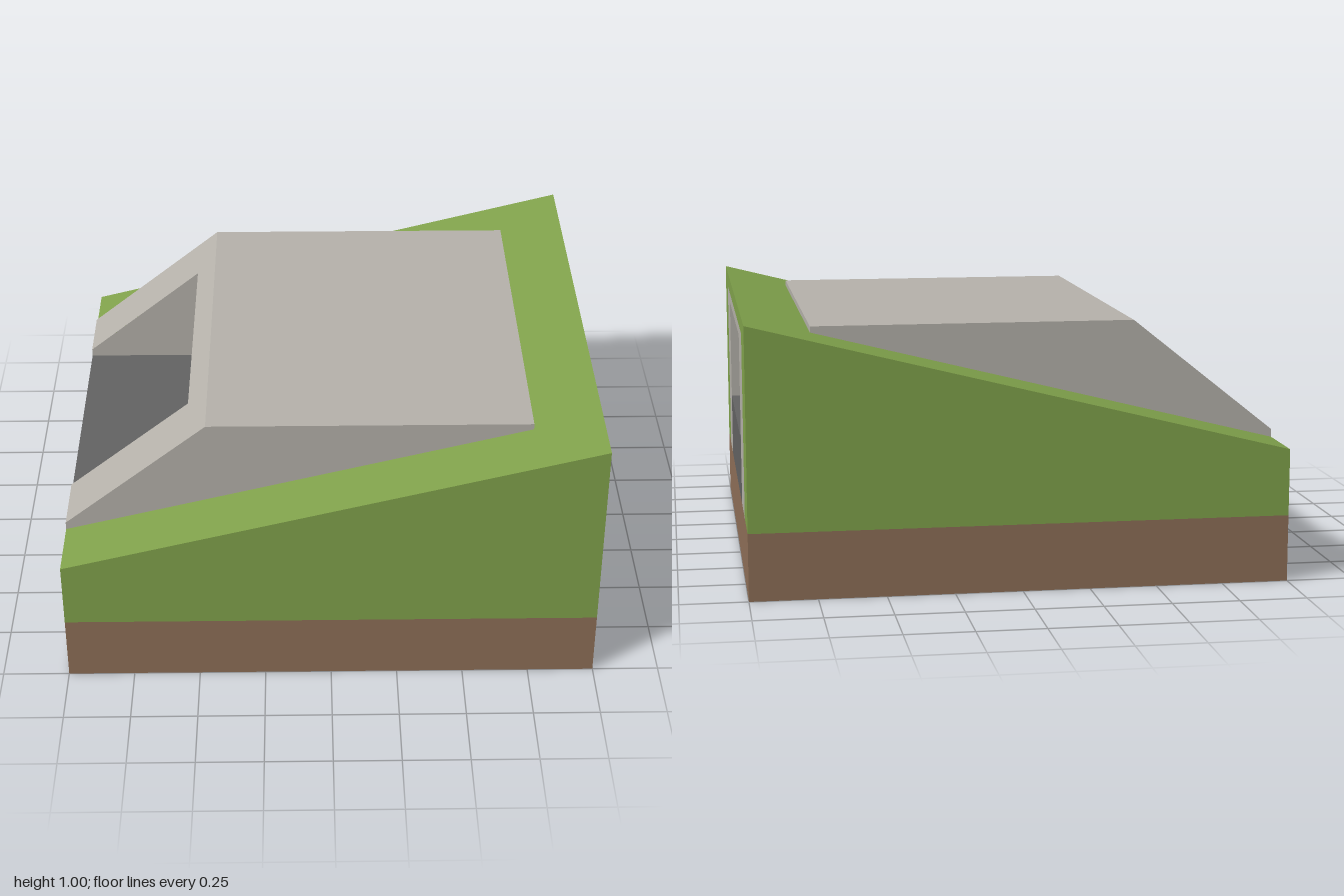
import * as THREE from 'three';

const material = (name, color) => {
  const m = new THREE.MeshStandardMaterial({ color, side: THREE.DoubleSide });
  m.name = name;
  return m;
};

// Ways to lay a flat outline into space
const acrossX = x => (z, y) => [x, y, z];
const acrossZ = z => (x, y) => [x, y, z];
const overhead = height => (x, z) => [x, height(x), z];

const rect = (a0, b0, a1, b1) => [[a0, b0], [a1, b0], [a1, b1], [a0, b1]];

// Heights of the ground and of the sloping entrance
const ground = x => 0.75 + 0.25 * x;
const ramp = x => 0.53 + (x + 1) * (0.43 / 0.54);

export function createModel() {
  const model = new THREE.Group();
  model.name = 'hillsideTunnel';
  const grass = material('grass', 0x80a24b);
  const earth = material('earth', 0x8e6f57);
  const concrete = material('concrete', 0xb5b1aa);
  const asphalt = material('asphalt', 0x626262);

  // Flat panel whose front faces the direction "out"
  function panel(name, mat, outline, place, out) {
    const shape = new THREE.Shape(outline.map(p => new THREE.Vector2(...p)));
    const geo = new THREE.ShapeGeometry(shape);
    const pos = geo.attributes.position;
    for (let i = 0; i < pos.count; i++) pos.setXYZ(i, ...place(pos.getX(i), pos.getY(i)));
    geo.computeVertexNormals();
    const n = new THREE.Vector3().fromBufferAttribute(geo.attributes.normal, 0);
    if (n.dot(new THREE.Vector3(...out)) < 0) {
      geo.index.array.reverse();
      geo.computeVertexNormals();
    }
    const mesh = new THREE.Mesh(geo, mat);
    mesh.name = name;
    model.add(mesh);
  }

  // Parts mirrored on both sides of the tunnel
  for (const s of [1, -1]) {
    panel('earthSide', earth, rect(-1, 0, 1, 0.25), acrossZ(s), [0, 0, s]);
    panel('earthEnd', earth, rect(-1, 0, 1, 0.25), acrossX(s), [s, 0, 0]);
    panel('grassSide', grass, [[-1, 0.25], [1, 0.25], [1, 1], [-1, 0.5]], acrossZ(s), [0, 0, s]);
    panel('lowGrassEnd', grass, rect(s * 0.75, 0.25, s, 0.5), acrossX(-1), [-1, 0, 0]);
    panel('entrancePost', concrete, rect(s * 0.5, 0.25, s * 0.75, 0.53), acrossX(-1), [-1, 0, 0]);
    panel('hoodSide', concrete,
      [[-1, 0.5], [0.75, ground(0.75)], [0.75, 0.96], [-0.46, 0.96], [-1, 0.53]],
      acrossZ(s * 0.75), [0, 0, s]);
    panel('tunnelWall', concrete,
      [[-1, 0.5], [1, 0.5], [1, 0.9], [-0.535, 0.9], [-1, 0.53]],
      acrossZ(s * 0.5), [0, 0, -s]);
    panel('roadEnd', asphalt, rect(-0.5, 0.25, 0.5, 0.5), acrossX(s), [s, 0, 0]);
  }

  // Sloping grass around the hood
  panel('grassSlope', grass,
    [[-1, -1], [1, -1], [1, 1], [-1, 1], [-1, 0.75], [0.75, 0.75], [0.75, -0.75], [-1, -0.75]],
    overhead(ground), [0, 1, 0]);

  // High end wall and its flush portal frame
  panel('highGrassEnd', grass,
    [[-1, 0.25], [-0.75, 0.25], [-0.75, 0.94], [0.75, 0.94], [0.75, 0.25], [1, 0.25], [1, 1], [-1, 1]],
    acrossX(1), [1, 0, 0]);
  panel('portalFrame', concrete,
    [[-0.75, 0.25], [-0.5, 0.25], [-0.5, 0.9], [0.5, 0.9], [0.5, 0.25], [0.75, 0.25], [0.75, 0.94], [-0.75, 0.94]],
    acrossX(1), [1, 0, 0]);

  // Concrete hood with its raked entrance
  panel('hoodRoof', concrete, rect(-0.46, -0.75, 0.75, 0.75), overhead(() => 0.96), [0, 1, 0]);
  panel('hoodLip', concrete, rect(-0.75, ground(0.75), 0.75, 0.96), acrossX(0.75), [1, 0, 0]);
  panel('rakedEntranceFrame', concrete,
    [[-1, -0.75], [-0.46, -0.75], [-0.46, 0.75], [-1, 0.75], [-1, 0.5], [-0.535, 0.5], [-0.535, -0.5], [-1, -0.5]],
    overhead(ramp), [0, 1, 0]);

  // Inside of the tunnel
  panel('tunnelCeiling', concrete, rect(-0.535, -0.5, 1, 0.5), overhead(() => 0.9), [0, -1, 0]);
  panel('roadway', asphalt, rect(-1, -0.5, 1, 0.5), overhead(() => 0.5), [0, 1, 0]);

  return model;
}
